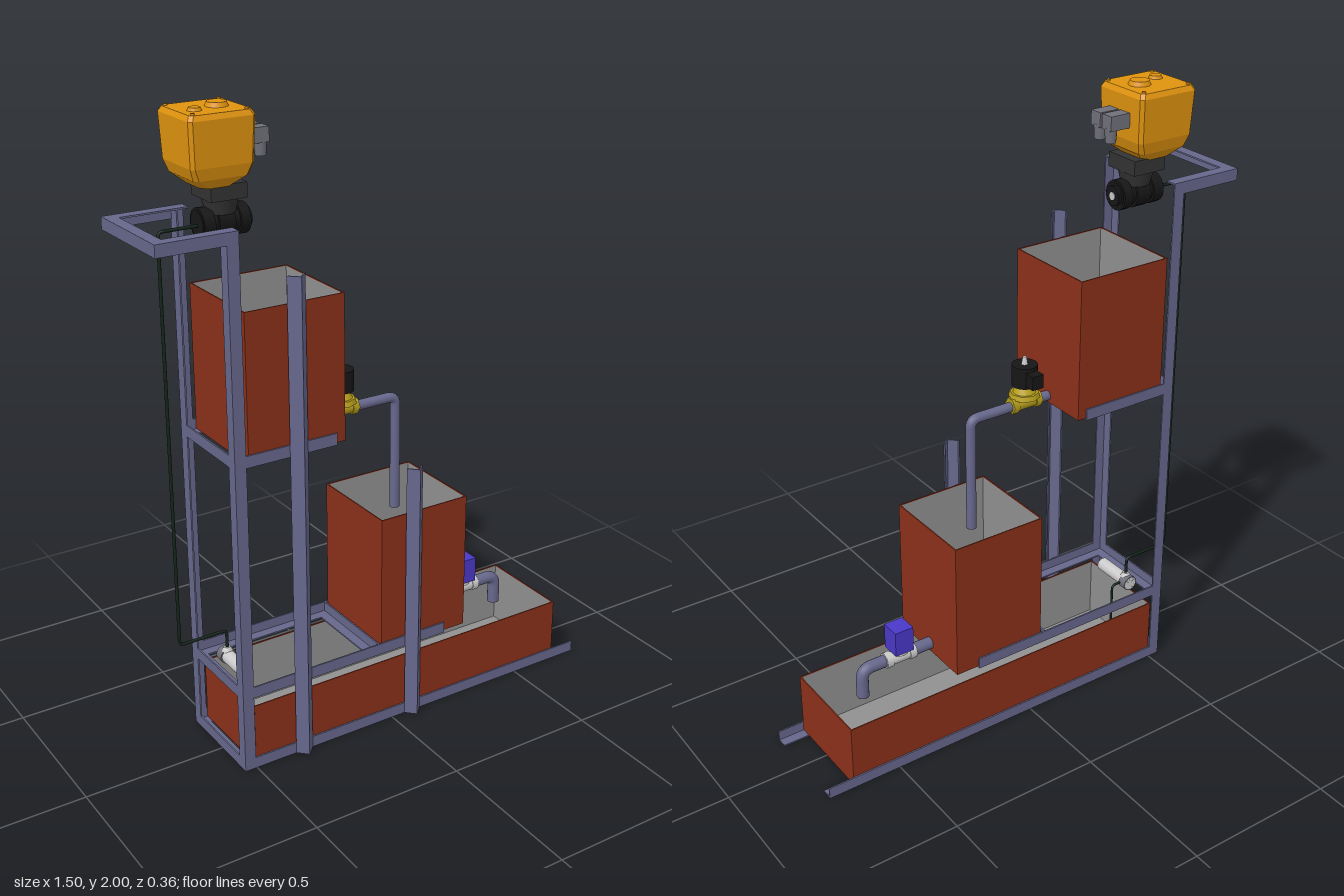
import * as THREE from 'three';

const mat = (color, extra = {}) => new THREE.MeshStandardMaterial({ color, ...extra });
const M = {
  frame: mat(0x67678c), red: mat(0x8b3019), liner: mat(0x909090, { side: THREE.DoubleSide }),
  orange: mat(0xe0930f), black: mat(0x161616), dark: mat(0x333333), brass: mat(0xb8a01c),
  blue: mat(0x4a38c8), white: mat(0xcccccc), grey: mat(0x70707a), hose: mat(0x14241a),
};
const V = (x, y, z) => new THREE.Vector3(x, y, z);

export function createModel() {
  const root = new THREE.Group();
  const group = (name) => {
    const g = new THREE.Group();
    g.name = name;
    root.add(g);
    return g;
  };
  const add = (parent, name, geo, m, x = 0, y = 0, z = 0) => {
    const mesh = new THREE.Mesh(geo, m);
    mesh.name = name;
    mesh.position.set(x, y, z);
    parent.add(mesh);
    return mesh;
  };
  // Box given by two opposite corners
  const box = (parent, name, m, a, b) => {
    const s = b.clone().sub(a), c = a.clone().add(b).multiplyScalar(0.5);
    return add(parent, name, new THREE.BoxGeometry(Math.abs(s.x), Math.abs(s.y), Math.abs(s.z)), m, c.x, c.y, c.z);
  };
  // Cylinder along an axis, centred on a point
  const cyl = (parent, name, m, axis, r, len, x, y, z, r2 = r, seg = 28) => {
    const geo = new THREE.CylinderGeometry(r2, r, len, seg);
    if (axis === 'x') geo.rotateZ(-Math.PI / 2);
    if (axis === 'z') geo.rotateX(Math.PI / 2);
    return add(parent, name, geo, m, x, y, z);
  };
  // Pipe along points, with rounded bends
  const pipe = (parent, name, m, r, bend, pts) => {
    const path = new THREE.CurvePath();
    let from = pts[0];
    for (let i = 1; i < pts.length - 1; i++) {
      const p = pts[i];
      const a = p.clone().add(pts[i - 1].clone().sub(p).setLength(bend));
      const b = p.clone().add(pts[i + 1].clone().sub(p).setLength(bend));
      path.add(new THREE.LineCurve3(from, a));
      path.add(new THREE.QuadraticBezierCurve3(a, p, b));
      from = b;
    }
    const end = pts[pts.length - 1];
    path.add(new THREE.LineCurve3(from, end));
    add(parent, name, new THREE.TubeGeometry(path, 160, r, 16), m);
    cyl(parent, name + 'End', m, 'y', r, 0.002, end.x, end.y, end.z);
  };

  // Angle-iron frame: each bar has two thin flanges meeting on the line a-b
  const frame = group('frame');
  const W = 0.037, T = 0.005, ZF = 0.15, ZB = -0.18, XL = -0.54;
  const angle = (name, a, b, u, v) => {
    for (const [p, q] of [[u, v], [v, u]])
      box(frame, name, M.frame, a, b.clone().addScaledVector(p, W).addScaledVector(q, T));
  };
  const X = V(1, 0, 0), Y = V(0, 1, 0), down = V(0, -1, 0), left = V(-1, 0, 0);
  for (const z of [ZF, ZB]) {
    const inward = V(0, 0, z > 0 ? -1 : 1);
    angle('rearPost', V(XL, 0, z), V(XL, 1.7, z), X, inward);
    angle('baseRail', V(XL, 0, z), V(0.75, 0, z), Y, inward);
    angle('middleShelfRail', V(XL, 0.25, z), V(0.2, 0.25, z), Y, inward);
    angle('upperShelfRail', V(XL, 1.008, z), V(-0.2, 1.008, z), Y, inward);
    angle('topBracketRail', V(-0.75, 1.7, z), V(-0.503, 1.7, z), down, inward);
  }
  for (const y of [0, 0.25, 1.008])
    angle('crossBar', V(XL, y, ZB), V(XL, y, ZF), X, Y);
  angle('middleCrossBar', V(-0.048, 0.25, ZB), V(-0.048, 0.25, ZF), left, Y);
  angle('topBracketEnd', V(-0.75, 1.7, ZB), V(-0.75, 1.7, ZF), X, down);

  // Front posts: angle irons turned with the ridge outward
  for (const [x, h] of [[-0.33, 1.55], [0.077, 0.87]]) {
    const s = new THREE.Shape([[-0.03, 0], [0, -0.03], [0.03, 0], [0.024, 0], [0, -0.024], [-0.024, 0]]
      .map(([a, b]) => new THREE.Vector2(a, b)));
    const geo = new THREE.ExtrudeGeometry(s, { depth: h, bevelEnabled: false });
    geo.rotateX(-Math.PI / 2);
    add(frame, 'frontPost', geo, M.frame, x, 0, ZF);
  }

  // Open tanks: red shell with a grey lining
  const tank = (name, x0, x1, y0, y1) => {
    const g = group(name), t = 0.004, z0 = ZB + 0.005, z1 = ZF - 0.005;
    box(g, 'floor', M.red, V(x0, y0, z0), V(x1, y0 + t, z1));
    for (const x of [x0, x1 - t]) box(g, 'endWall', M.red, V(x, y0, z0), V(x + t, y1, z1));
    for (const z of [z0, z1 - t]) box(g, 'sideWall', M.red, V(x0, y0, z), V(x1, y1, z + t));
    const l = x1 - x0 - 2 * t - 0.002, d = z1 - z0 - 2 * t - 0.002, h = y1 - y0 - t - 0.003;
    const cx = (x0 + x1) / 2, cz = (z0 + z1) / 2;
    const walls = new THREE.CylinderGeometry(Math.SQRT1_2, Math.SQRT1_2, h, 4, 1, true).toNonIndexed();
    walls.rotateY(Math.PI / 4).scale(l, 1, d);
    walls.computeVertexNormals();
    add(g, 'lining', walls, M.liner, cx, y0 + t + 0.001 + h / 2, cz);
    add(g, 'liningFloor', new THREE.PlaneGeometry(l, d).rotateX(-Math.PI / 2), M.liner, cx, y0 + t + 0.001, cz);
    return g;
  };
  tank('lowerTank', -0.5, 0.663, 0.006, 0.217);
  cyl(tank('middleTank', -0.04, 0.28, 0.256, 0.715), 'drain', M.red, 'y', 0.02, 0.04, 0.2, 0.237, -0.018);
  cyl(tank('upperTank', -0.493, -0.17, 1.014, 1.468), 'drain', M.red, 'y', 0.02, 0.04, -0.25, 0.996, -0.018);

  // Pipes between the tanks
  const pz = -0.018, pipes = group('pipes');
  pipe(pipes, 'upperPipe', M.frame, 0.016, 0.028, [V(-0.172, 1.036, pz), V(0.117, 1.036, pz), V(0.117, 0.66, pz)]);
  pipe(pipes, 'lowerPipe', M.frame, 0.02, 0.035, [V(0.278, 0.286, pz), V(0.53, 0.286, pz), V(0.53, 0.19, pz)]);

  // Brass solenoid valve
  const sol = group('solenoidValve'), sx = -0.082;
  cyl(sol, 'body', M.brass, 'x', 0.022, 0.085, sx, 1.04, pz);
  for (const s of [-1, 1]) cyl(sol, 'hexEnd', M.brass, 'x', 0.027, 0.022, sx + s * 0.042, 1.04, pz, 0.027, 6);
  cyl(sol, 'bonnet', M.brass, 'y', 0.05, 0.016, sx, 1.068, pz, 0.045, 8);
  cyl(sol, 'neck', M.brass, 'y', 0.036, 0.025, sx, 1.088, pz, 0.022);
  cyl(sol, 'coil', M.black, 'y', 0.04, 0.068, sx, 1.134, pz);
  box(sol, 'plug', M.black, V(sx - 0.02, 1.11, -0.088), V(sx + 0.02, 1.155, -0.04));
  cyl(sol, 'stem', M.white, 'y', 0.01, 0.026, sx, 1.18, pz, 0.006);

  // Blue motor valve
  const motor = group('motorValve');
  cyl(motor, 'body', M.white, 'x', 0.022, 0.11, 0.395, 0.286, pz);
  for (const s of [-1, 1]) cyl(motor, 'nut', M.white, 'x', 0.026, 0.024, 0.395 + s * 0.042, 0.286, pz, 0.026, 8);
  cyl(motor, 'collar', M.white, 'y', 0.026, 0.02, 0.392, 0.308, pz);
  box(motor, 'motor', M.blue, V(0.36, 0.312, -0.051), V(0.425, 0.397, 0.015));

  // Orange actuator housing with bevelled corners, tapering below
  const act = group('actuator'), ax = -0.467, az = -0.08;
  const section = (y, w, d, c) => [[-w, -d + c], [-w + c, -d], [w - c, -d], [w, -d + c],
    [w, d - c], [w - c, d], [-w + c, d], [-w, d - c]].map(([x, z]) => [x, y, z]);
  const rings = [section(1.775, 0.05, 0.06, 0.02), section(1.805, 0.085, 0.085, 0.012), section(1.84, 0.097, 0.093, 0.01),
    section(1.97, 0.102, 0.099, 0.01), section(1.985, 0.094, 0.091, 0.01)];
  const tri = [];
  for (let k = 0; k < rings.length - 1; k++)
    for (let i = 0; i < 8; i++) {
      const j = (i + 1) % 8, [a, b, c, d] = [rings[k][i], rings[k][j], rings[k + 1][j], rings[k + 1][i]];
      tri.push(...a, ...c, ...b, ...a, ...d, ...c);
    }
  const top = rings[rings.length - 1], bot = rings[0];
  for (let i = 1; i < 7; i++) tri.push(...top[0], ...top[i + 1], ...top[i], ...bot[0], ...bot[i], ...bot[i + 1]);
  const shell = new THREE.BufferGeometry();
  shell.setAttribute('position', new THREE.Float32BufferAttribute(tri, 3));
  shell.computeVertexNormals();
  add(act, 'housing', shell, M.orange, ax, 0, az);
  cyl(act, 'largeCap', M.orange, 'y', 0.034, 0.014, -0.435, 1.991, az, 0.028);
  cyl(act, 'smallCap', M.orange, 'y', 0.021, 0.01, -0.515, 1.989, -0.055, 0.017);
  for (const sxx of [-1, 1]) for (const szz of [-1, 1])
    cyl(act, 'screw', M.orange, 'y', 0.006, 0.006, ax + sxx * 0.082, 1.987, az + szz * 0.08, 0.006, 10);
  for (const z of [-0.053, -0.103]) {
    box(act, 'cablePlug', M.grey, V(-0.375, 1.878, z - 0.021), V(-0.3, 1.922, z + 0.021));
    cyl(act, 'cableGland', M.grey, 'y', 0.016, 0.045, -0.317, 1.862, z, 0.019, 12);
  }

  // Ball valve under the actuator
  const ball = group('ballValve'), bx = -0.435;
  box(ball, 'mount', M.dark, V(bx - 0.058, 1.735, az - 0.06), V(bx + 0.055, 1.78, az + 0.06));
  cyl(ball, 'neck', M.dark, 'y', 0.043, 0.05, bx, 1.715, az, 0.055);
  cyl(ball, 'body', M.black, 'x', 0.038, 0.15, bx, 1.665, az);
  for (const [dx, w] of [[-0.055, 0.035], [0, 0.05], [0.058, 0.03]])
    cyl(ball, 'unionNut', M.black, 'x', 0.046, w, bx + dx, 1.665, az, 0.046, 16);
  cyl(ball, 'port', M.black, 'x', 0.03, 0.02, bx + 0.075, 1.665, az);
  cyl(ball, 'bore', M.white, 'x', 0.012, 0.004, bx + 0.085, 1.665, az);

  // Thin supply hose and the small pump over the lower tank
  const supply = group('supplyLine');
  pipe(supply, 'hose', M.hose, 0.005, 0.015,
    [V(-0.5, 1.66, az), V(-0.63, 1.66, az), V(-0.63, 0.36, az), V(-0.468, 0.36, az), V(-0.468, 0.285, az)]);
  cyl(supply, 'pump', M.white, 'z', 0.022, 0.15, -0.468, 0.27, -0.03);
  cyl(supply, 'pumpHead', M.grey, 'z', 0.026, 0.03, -0.468, 0.27, -0.09);
  cyl(supply, 'hoseFitting', M.white, 'y', 0.018, 0.014, -0.468, 0.296, az, 0.01);
  pipe(supply, 'suctionHose', M.hose, 0.004, 0.015, [V(-0.45, 0.27, az), V(-0.41, 0.27, az), V(-0.41, 0.06, az)]);

  return root;
}
